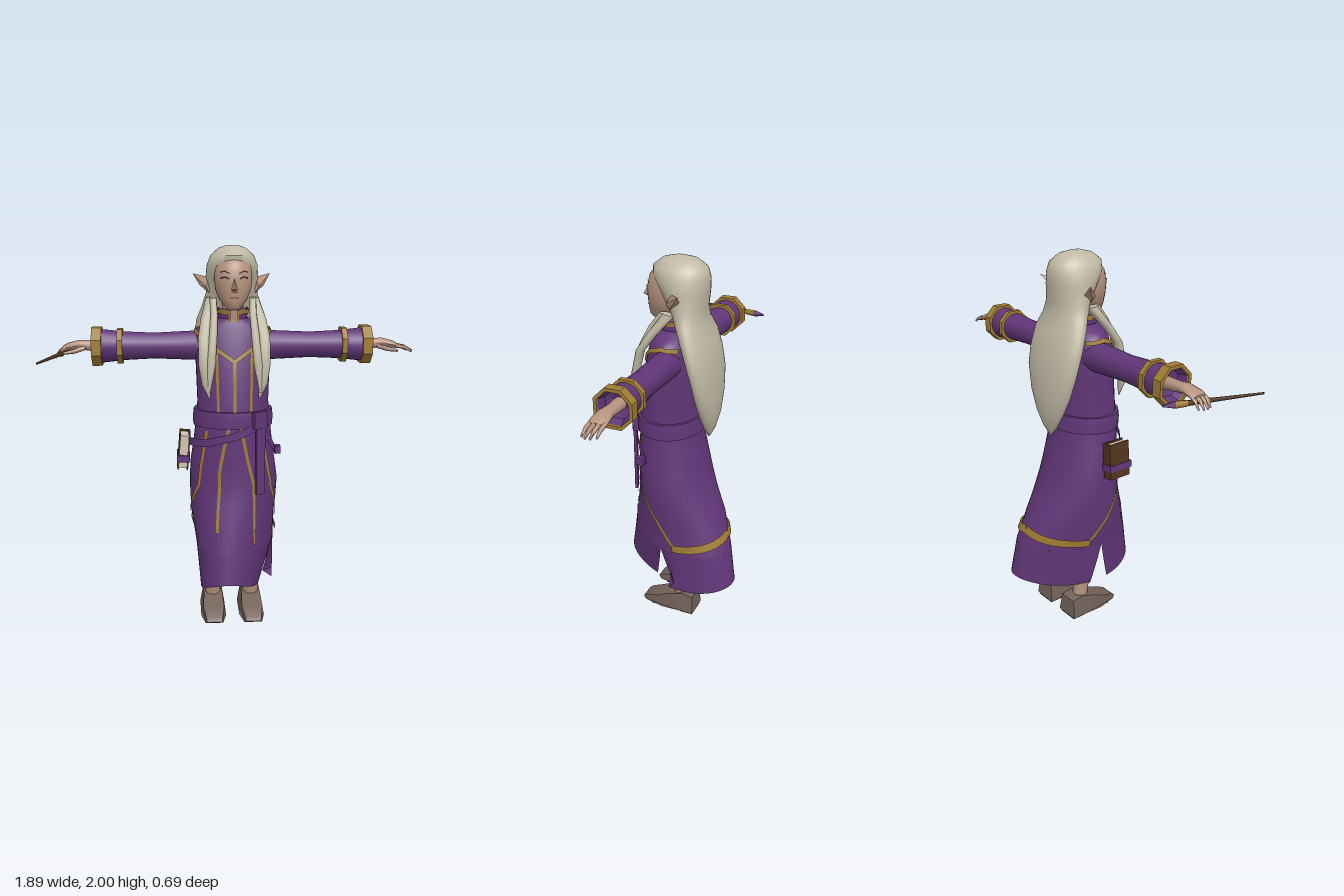
import * as THREE from 'three';
import { toCreasedNormals } from 'three/addons/utils/BufferGeometryUtils.js';
import { ConvexGeometry } from 'three/addons/geometries/ConvexGeometry.js';

const V = (x, y, z) => new THREE.Vector3(x, y, z);
const RAD = Math.PI / 180;

// Cross-section tables: [y, centreX, centreZ, radiusX, radiusZ, twist]
const ROBE = [
  [0.18, 0.03, -0.01, 0.19, 0.345, 0.07], [0.44, 0.018, -0.008, 0.205, 0.3, 0.055],
  [0.6, 0.005, 0.005, 0.222, 0.258, 0.03], [0.7, 0.005, 0.018, 0.23, 0.222, 0.015],
  [0.8, 0.005, 0.03, 0.232, 0.195, 0], [0.9, 0, 0.042, 0.222, 0.182, 0],
  [1.0, 0, 0.052, 0.207, 0.172, 0], [1.14, 0, 0.065, 0.19, 0.158, 0],
  [1.22, 0, 0.06, 0.184, 0.155, 0], [1.4, 0, 0.05, 0.19, 0.145, 0],
  [1.54, 0, 0.038, 0.196, 0.122, 0], [1.585, 0, 0.036, 0.186, 0.112, 0],
  [1.615, 0, 0.04, 0.14, 0.1, 0], [1.64, 0, 0.045, 0.08, 0.085, 0],
];
const COLLAR = [[1.58, 0, 0.05, 0.078, 0.082], [1.63, 0, 0.05, 0.072, 0.082], [1.69, 0, 0.052, 0.078, 0.088]];
const FACE = [
  [1.685, 0, 0.125, 0.028, 0.035], [1.70, 0, 0.105, 0.045, 0.068], [1.735, 0, 0.085, 0.07, 0.092],
  [1.78, 0, 0.08, 0.09, 0.099], [1.84, 0, 0.08, 0.096, 0.102], [1.9, 0, 0.075, 0.09, 0.093],
  [1.94, 0, 0.06, 0.07, 0.075],
];
const HAIR = [
  [1.07, 0, -0.15, 0.006, 0.005], [1.12, 0, -0.155, 0.05, 0.025], [1.2, 0, -0.155, 0.1, 0.045],
  [1.3, 0, -0.15, 0.15, 0.055], [1.42, 0, -0.138, 0.185, 0.063], [1.52, 0, -0.115, 0.192, 0.07],
  [1.62, 0, -0.085, 0.182, 0.075], [1.69, 0, -0.055, 0.155, 0.075], [1.76, 0, -0.035, 0.133, 0.092],
  [1.84, 0, -0.015, 0.134, 0.122], [1.9, 0, 0.002, 0.13, 0.142], [1.95, 0, 0.01, 0.11, 0.138],
  [1.985, 0, 0.01, 0.07, 0.092], [2.0, 0, 0.01, 0.025, 0.035],
];

// Point on a table's surface at an angle (0 = left side, 90 = front) and height
function surf(table, deg, y) {
  let i = 0;
  while (i < table.length - 2 && y > table[i + 1][0]) i++;
  const a = table[i], b = table[i + 1], t = (y - a[0]) / (b[0] - a[0]);
  const m = (k) => (a[k] || 0) + ((b[k] || 0) - (a[k] || 0)) * t;
  const c = Math.cos(deg * RAD), s = Math.sin(deg * RAD);
  return V(m(1) + m(3) * c - m(5) * s, y, m(2) + m(4) * s);
}

// Grid of quads; fn(i, j) gives a point
function sheet(rows, cols, fn, crease = 0.7) {
  const pos = [], idx = [];
  for (let i = 0; i <= rows; i++) for (let j = 0; j <= cols; j++) {
    const p = fn(i, j);
    pos.push(p.x, p.y, p.z);
    if (i < rows && j < cols) {
      const a = i * (cols + 1) + j, b = a + cols + 1;
      idx.push(a, b, a + 1, b, b + 1, a + 1);
    }
  }
  const g = new THREE.BufferGeometry();
  g.setAttribute('position', new THREE.Float32BufferAttribute(pos, 3));
  g.setIndex(idx);
  return toCreasedNormals(g, crease);
}

// Closed skin over a table, optionally capped
function loft(table, n = 24, capped = true, crease = 0.9) {
  let t = [...table].sort((a, b) => a[0] - b[0]);
  if (capped) {
    const tip = (r) => [r[0], r[1], r[2], 0, 0, 0];
    t = [tip(t[0]), ...t, tip(t[t.length - 1])];
  }
  return sheet(t.length - 1, n, (i, j) => {
    const a = ((j % n) / n) * 2 * Math.PI, [y, cx, cz, rx, rz, tw = 0] = t[i];
    return V(cx + rx * Math.cos(a) - tw * Math.sin(a), y, cz + rz * Math.sin(a));
  }, crease);
}

// Ribbon lying on a table's surface along [angle, y] points
function ribbon(table, path, width, lift = 0.005) {
  const pts = [];
  path.forEach((p, k) => {
    if (k === path.length - 1) return pts.push(p);
    for (let s = 0; s < 8; s++) pts.push([0, 1].map((c) => p[c] + (path[k + 1][c] - p[c]) * s / 8));
  });
  const at = (k) => surf(table, ...pts[Math.min(Math.max(k, 0), pts.length - 1)]);
  return sheet(pts.length - 1, 1, (i, j) => {
    const [d, y] = pts[i];
    const n = surf(table, d, y + 0.004).sub(surf(table, d, y - 0.004))
      .cross(surf(table, d + 1, y).sub(surf(table, d - 1, y))).normalize();
    const side = at(i + 1).sub(at(i - 1)).cross(n).normalize();
    return at(i).addScaledVector(side, (j - 0.5) * width).addScaledVector(n, lift);
  });
}

export function createModel() {
  const root = new THREE.Group();
  const mat = (name, color) => Object.assign(new THREE.MeshStandardMaterial({ color, side: THREE.DoubleSide }), { name });
  const purple = mat('purple cloth', 0x613678), gold = mat('gold trim', 0xa07c34), hair = mat('pale hair', 0xc0b9a4);
  const skin = mat('skin', 0xb6937f), leather = mat('shoe leather', 0x73635a), wood = mat('brown wood', 0x54341f);
  const dark = mat('dark line', 0x2c2220), paper = mat('paper', 0xcdc5b0), lip = mat('lips', 0x8c5c52);
  const add = (name, geo, m, parent = root) => {
    const mesh = new THREE.Mesh(geo, m);
    mesh.name = name;
    parent.add(mesh);
    return mesh;
  };
  const box = (name, w, h, d, x, y, z, m, parent) => {
    const mesh = add(name, new THREE.BoxGeometry(w, h, d), m, parent);
    mesh.position.set(x, y, z);
    return mesh;
  };
  const rod = (name, a, b, ra, rb, m, n = 8) => {
    const mesh = add(name, new THREE.CylinderGeometry(rb, ra, a.distanceTo(b), n), m);
    mesh.position.copy(a).lerp(b, 0.5);
    mesh.quaternion.setFromUnitVectors(V(0, 1, 0), b.clone().sub(a).normalize());
  };

  // Robe, with the hem split into front and back panels
  add('robe', loft(ROBE.slice(1), 40, false), purple);
  const panel = (name, from, to) => add(name, sheet(6, 24, (i, j) => {
    const v = 1 - i / 6, gap = 9 * v;
    const d = from + gap + (to - from - 2 * gap) * j / 24, s = Math.sin(d * RAD), c = Math.cos(d * RAD);
    const hem = 0.2 + (s > 0 ? 0.09 : 0.045) * s * s;
    const p = surf(ROBE, d, 0.44 + (hem - 0.44) * v);
    if (s > 0 && c > 0) p.x -= 0.06 * v * c * c;
    return p;
  }), purple);
  panel('frontHem', 9, 171);
  panel('backHem', 171, 369);

  // Gold lines on the robe
  add('centreTrim', ribbon(ROBE, [[90, 1.18], [90, 1.43]], 0.016), gold);
  add('rightSkirtLine', ribbon(ROBE, [[99, 1.1], [105, 1.0], [111, 0.85], [107, 0.56]], 0.016), gold);
  add('leftSkirtLine', ribbon(ROBE, [[81, 1.1], [76, 1.0], [69, 0.85], [53, 0.48]], 0.016), gold);
  for (const s of [1, -1]) {
    const side = (path) => path.map(([d, y]) => [s > 0 ? d : 180 - d, y]);
    add('chestLine', ribbon(ROBE, side([[64, 1.18], [63, 1.48]]), 0.014), gold);
    add('yokeTrim', ribbon(ROBE, side([[90, 1.43], [60, 1.5], [30, 1.56], [0, 1.583], [-40, 1.57]]), 0.022, 0.008), gold);
    add('sideLine', ribbon(ROBE, side([[45, 1.08], [41, 0.9], [37, 0.78], [14, 0.64], [-9, 0.47]]), 0.02), gold);
    add('hemBand', ribbon(ROBE, side([[-7, 0.475], [-40, 0.495], [-90, 0.53]]), 0.045, 0.012), gold);
  }

  // Collar and neck
  add('neck', loft([[1.56, 0, 0.04, 0.06, 0.06], [1.75, 0, 0.045, 0.052, 0.058]], 16), skin);
  add('collar', loft(COLLAR, 24, false), purple);
  add('collarRim', ribbon(COLLAR, [[108, 1.675], [270, 1.675], [432, 1.675]], 0.022, 0.005), gold);
  add('collarOpening', ribbon(COLLAR, [[90, 1.6], [90, 1.685]], 0.03, 0.004), skin);
  for (const d of [73, 107]) add('collarEdge', ribbon(COLLAR, [[d, 1.59], [d, 1.68]], 0.013, 0.006), gold);

  // Belt, sash and hanging ends
  add('belt', loft([[1.095, 0, 0.06, 0.206, 0.174], [1.14, 0, 0.062, 0.208, 0.174], [1.18, 0, 0.062, 0.203, 0.17]], 32), purple);
  add('sash', ribbon(ROBE, [[180, 1.0], [130, 1.02], [90, 1.06], [55, 1.11]], 0.04, 0.018), purple);
  add('sashTail', ribbon(ROBE, [[58, 1.1], [35, 1.03], [20, 0.95]], 0.035, 0.018), purple);
  box('buckle', 0.075, 0.085, 0.03, 0.125, 1.14, 0.215, purple).rotation.y = 0.5;
  box('longSashEnd', 0.048, 0.36, 0.016, 0.13, 0.93, 0.212, purple).rotation.y = 0.35;
  box('beltLoop', 0.03, 0.04, 0.05, 0.225, 0.97, 0.14, purple);

  // Book at the right hip
  const book = new THREE.Group();
  book.name = 'book';
  book.position.set(-0.258, 0.96, 0.08);
  book.rotation.z = -0.08;
  root.add(book);
  box('pages', 0.04, 0.17, 0.11, 0, 0, 0, paper, book);
  for (const s of [1, -1]) box('cover', 0.008, 0.19, 0.125, 0.024 * s, 0, -0.003, wood, book);
  box('spine', 0.056, 0.19, 0.01, 0, 0, -0.062, wood, book);
  box('bookStrap', 0.066, 0.035, 0.142, 0, -0.035, 0, purple, book);

  // Head and face
  add('face', loft(FACE, 28), skin);
  add('hair', loft(HAIR, 32), hair);
  add('nose', new ConvexGeometry([V(0, 1.85, 0.176), V(0.02, 1.785, 0.168), V(-0.02, 1.785, 0.168), V(0, 1.79, 0.212), V(0, 1.776, 0.182)]), skin);
  add('nostrilLine', ribbon(FACE, [[80, 1.773], [100, 1.773]], 0.008, 0.004), lip);
  add('mouth', ribbon(FACE, [[73, 1.745], [90, 1.748], [107, 1.745]], 0.009, 0.003), lip);
  for (const s of [1, -1]) {
    const side = (path) => path.map(([d, y]) => [90 - s * d, y]);
    add('eye', ribbon(FACE, side([[15, 1.838], [28, 1.846], [44, 1.84]]), 0.008, 0.003), dark);
    add('brow', ribbon(FACE, side([[13, 1.862], [30, 1.874], [46, 1.868]]), 0.006, 0.003), dark);
    add('ear', new ConvexGeometry([V(s * 0.115, 1.84, 0.015), V(s * 0.115, 1.76, 0.02), V(s * 0.135, 1.795, 0.03),
      V(s * 0.12, 1.8, -0.035), V(s * 0.2, 1.858, -0.06), V(s * 0.165, 1.8, -0.015)]), skin);
    // Locks falling over the chest
    add('outerLock', loft([[1.74, 0.11 * s, 0.02, 0.025, 0.035], [1.64, 0.135 * s, 0.1, 0.03, 0.027], [1.55, 0.15 * s, 0.162, 0.03, 0.022],
      [1.42, 0.15 * s, 0.193, 0.03, 0.02], [1.32, 0.142 * s, 0.2, 0.023, 0.016], [1.25, 0.125 * s, 0.2, 0.004, 0.004]], 10), hair);
    add('innerLock', loft([[1.74, 0.1 * s, 0.05, 0.018, 0.03], [1.66, 0.098 * s, 0.12, 0.018, 0.02], [1.56, 0.105 * s, 0.172, 0.02, 0.018],
      [1.42, 0.117 * s, 0.205, 0.022, 0.016], [1.28, 0.13 * s, 0.208, 0.008, 0.008]], 10), hair);
  }

  // Arms run along local y, turned to point sideways
  for (const s of [1, -1]) {
    const arm = new THREE.Group();
    arm.name = s > 0 ? 'leftArm' : 'rightArm';
    arm.position.set(0, 1.497, 0.02);
    arm.rotation.z = -s * Math.PI / 2;
    root.add(arm);
    const turned = (name, pts, m) => {
      const g = new THREE.LatheGeometry(pts.map((p) => new THREE.Vector2(...p)), 8, Math.PI / 8);
      add(name, toCreasedNormals(g.deleteAttribute('normal'), 0.7), m, arm);
    };
    add('sleeve', loft([[0.1, 0, 0, 0.078, 0.075], [0.2, 0, 0, 0.075, 0.07], [0.4, 0, 0, 0.066, 0.066], [0.55, 0, 0, 0.073, 0.073],
      [0.67, 0, 0, 0.086, 0.086]], 16, false), purple, arm);
    turned('sleeveLining', [[0.088, 0.71], [0.07, 0.66], [0.02, 0.64]], purple);
    turned('cuff', [[0.085, 0.665], [0.104, 0.665], [0.104, 0.715], [0.086, 0.715], [0.085, 0.665]], gold);
    turned('sleeveBand', [[0.07, 0.56], [0.094, 0.56], [0.094, 0.588], [0.07, 0.588]], gold);
    // Hand: positive drop is downward
    const drop = (t) => t.map(([y, d, z, rx, rz]) => [y, d * s, z, rx, rz]);
    add('palm', loft(drop([[0.64, 0, 0, 0.032, 0.032], [0.73, -0.003, 0, 0.027, 0.03], [0.78, -0.008, 0, 0.024, 0.04],
      [0.84, 0.002, 0, 0.019, 0.045], [0.865, 0.01, 0, 0.012, 0.04]]), 12), skin, arm);
    const reach = s > 0 ? 1 : 0.6, curl = s > 0 ? 1 : 1.5;
    [-0.034, -0.012, 0.011, 0.033].forEach((z, k) => {
      const len = [0.07, 0.09, 0.092, 0.08][k] * reach;
      add('finger', loft(drop([[0.845, 0.005, z, 0.011, 0.011], [0.85 + len * 0.55, 0.015 * curl, z, 0.01, 0.01],
        [0.85 + len, 0.035 * curl, z, 0.006, 0.006]]), 8), skin, arm);
    });
    add('thumb', loft(drop([[0.75, 0.005, 0.025, 0.013, 0.015], [0.8, 0.02, 0.05, 0.012, 0.012], [0.855, 0.03, 0.052, 0.007, 0.007]]), 8), skin, arm);
  }

  // Wand in the right hand
  const wand = (z) => V(-0.854 - 0.26 * z, 1.466 - 0.03 * z, z);
  rod('wandShaft', wand(-0.1), wand(0.35), 0.014, 0.005, wood);
  rod('wandGrip', wand(-0.1), wand(-0.04), 0.017, 0.015, gold);
  rod('wandRing', wand(0.05), wand(0.07), 0.015, 0.015, gold);
  rod('wandGem', wand(-0.155), wand(-0.1), 0.004, 0.018, purple, 6);

  // Legs and shoes
  for (const s of [1, -1]) {
    const x = 0.105 * s;
    add(s > 0 ? 'leftLeg' : 'rightLeg', loft([[0.08, x, -0.045, 0.042, 0.04], [0.18, x, -0.03, 0.042, 0.042], [0.32, x, 0, 0.055, 0.055],
      [0.5, x, 0.04, 0.065, 0.06], [0.75, x * 0.9, 0.04, 0.08, 0.08]], 14), skin);
    const outline = new THREE.Shape([[-0.13, 0.01], [-0.06, 0.012], [0.06, 0.008], [0.165, 0.012], [0.182, 0.025], [0.165, 0.042],
      [0.09, 0.068], [0.02, 0.1], [-0.06, 0.122], [-0.125, 0.112]].map((p) => new THREE.Vector2(...p)));
    const g = new THREE.ExtrudeGeometry(outline, { depth: 0.14, steps: 4, bevelEnabled: false });
    g.translate(0, 0, -0.07).rotateY(-Math.PI / 2);
    const p = g.attributes.position;
    for (let i = 0; i < p.count; i++) {
      const toe = Math.max(0, (p.getZ(i) - 0.05) / 0.14);
      p.setX(i, p.getX(i) * (1 - 2.4 * p.getY(i)) * (1 - 0.45 * toe * toe));
    }
    add('shoe', toCreasedNormals(g, 0.6), leather).position.x = x;
    box('heel', 0.115, 0.02, 0.075, x, 0.01, -0.09, dark);
    box('sole', 0.1, 0.012, 0.13, x, 0.006, 0.06, dark);
  }
  return root;
}
